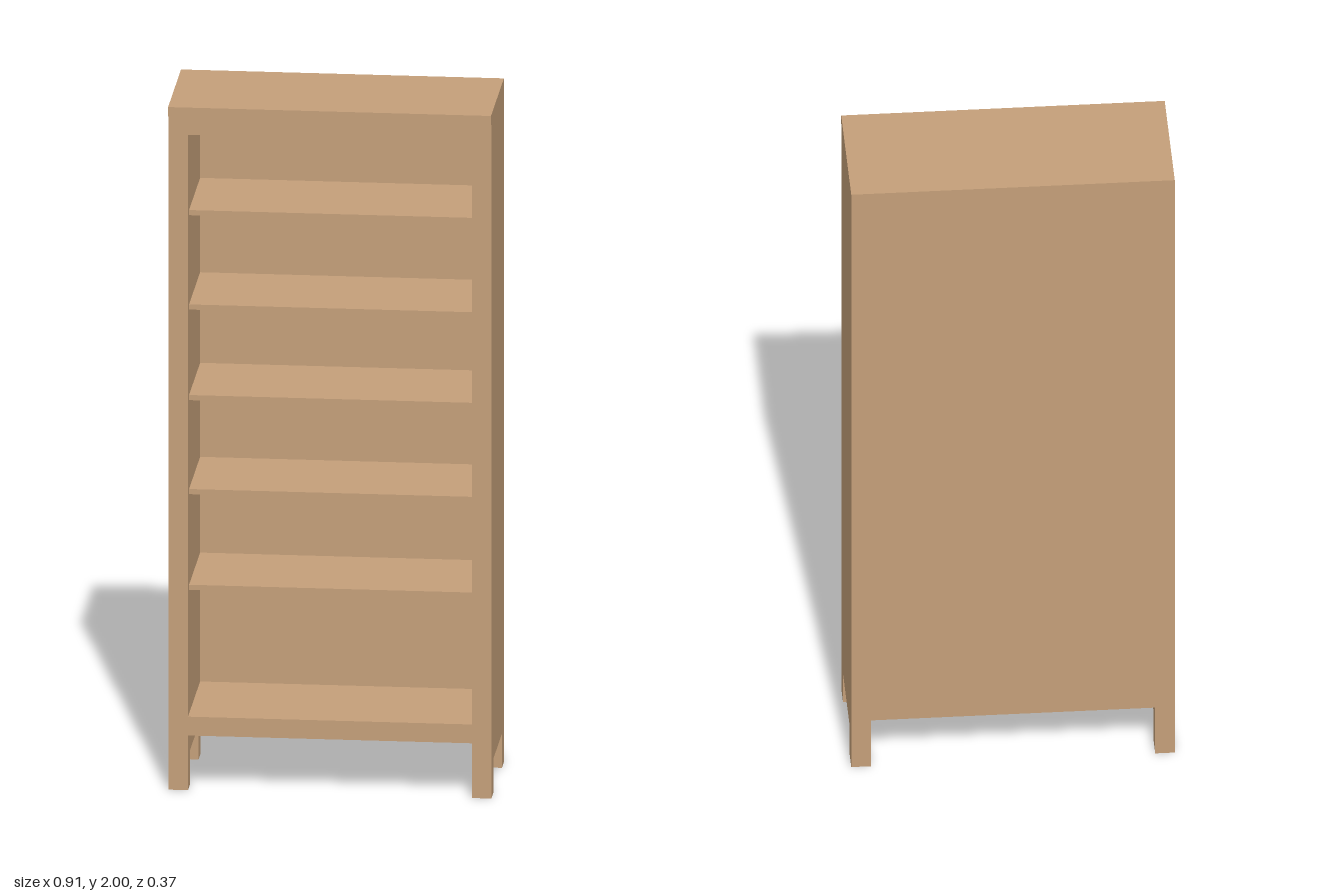
import * as THREE from 'three';

export function createModel() {
  const model = new THREE.Group();
  model.name = 'bookcase';
  const wood = new THREE.MeshStandardMaterial({ color: 0xc49f79 });
  wood.name = 'light wood';

  const W = 0.455, INNER = 0.4;             // outer and inner half widths
  const FRONT = 0.175, BACK = -0.187, BACK_INNER = -0.175;
  const TOP_UNDER = 1.972;

  // Board from its x half width and its y and z ranges
  function board(name, halfX, y0, y1, z0, z1) {
    const mesh = new THREE.Mesh(new THREE.BoxGeometry(2 * halfX, y1 - y0, z1 - z0), wood);
    mesh.position.set(0, (y0 + y1) / 2, (z0 + z1) / 2);
    mesh.name = name;
    model.add(mesh);
  }

  // Side panels, notched at the foot to leave a front and a back leg
  const outline = new THREE.Shape([
    [BACK, 0], [-0.13, 0], [-0.13, 0.1], [0.12, 0.1],
    [0.12, 0], [FRONT, 0], [FRONT, TOP_UNDER], [BACK, TOP_UNDER],
  ].map(([z, y]) => new THREE.Vector2(-z, y)));
  const sideGeometry = new THREE.ExtrudeGeometry(outline, { depth: W - INNER, bevelEnabled: false });
  sideGeometry.rotateY(Math.PI / 2);        // shape x becomes -z, depth becomes x
  for (const [name, x] of [['leftSide', INNER], ['rightSide', -W]]) {
    const side = new THREE.Mesh(sideGeometry, wood);
    side.position.x = x;
    side.name = name;
    model.add(side);
  }

  // Carcass: overhanging top, head rail, floor and back
  board('top', W, TOP_UNDER, 2, BACK, 0.187);
  board('headRail', INNER, 1.917, TOP_UNDER, BACK_INNER, FRONT);
  board('floor', INNER, 0.16, 0.215, BACK_INNER, FRONT);
  board('backPanel', INNER, 0.16, TOP_UNDER, BACK, BACK_INNER);

  // Thin shelves set back from the front
  [0.592, 0.872, 1.147, 1.412, 1.688].forEach((y, i) =>
    board(`shelf${i + 1}`, INNER, y - 0.015, y, BACK_INNER, 0.145));

  return model;
}
